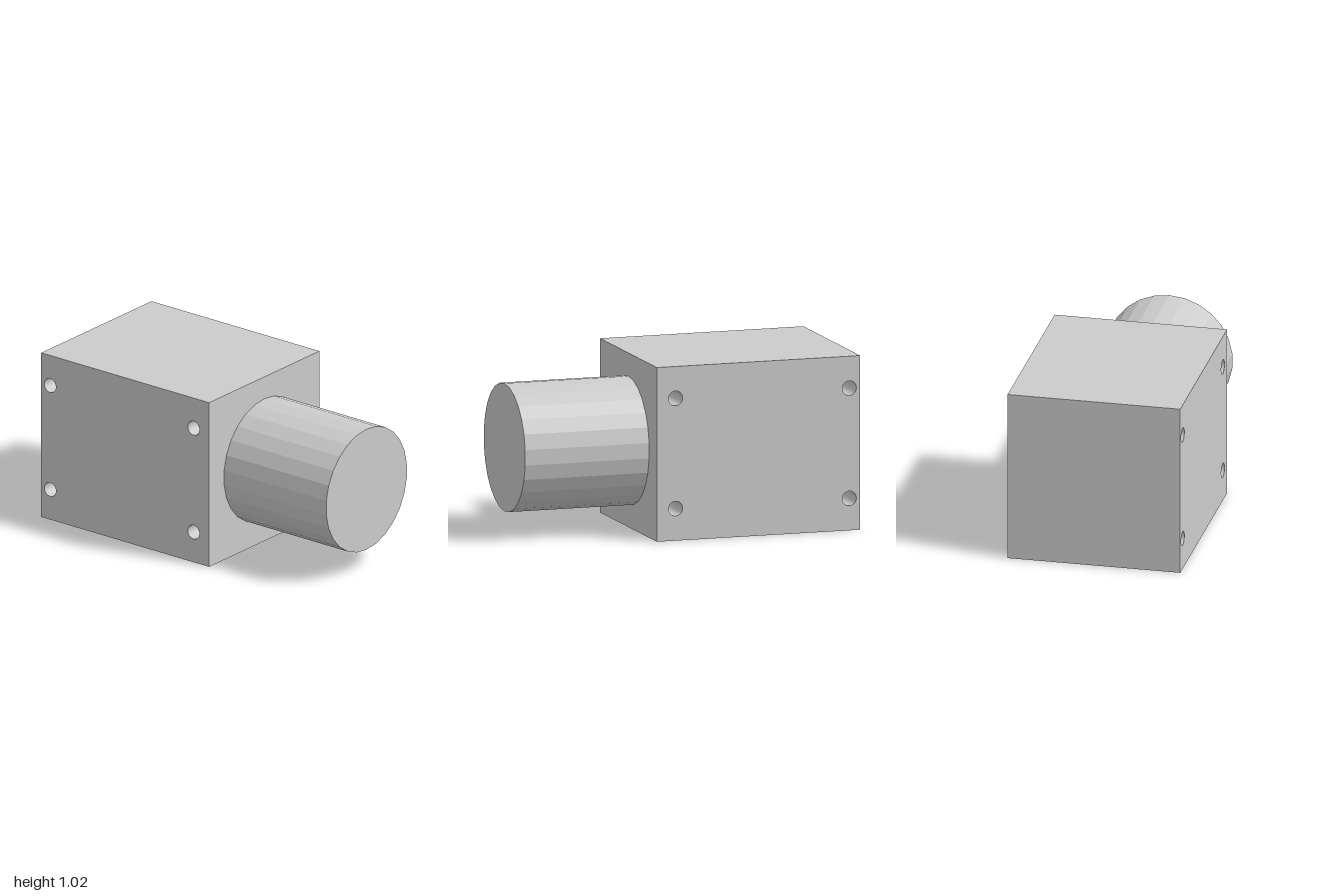
import * as THREE from 'three';

const HEIGHT = 1.024, DEPTH = 1.024, X0 = -1, X1 = 0.243, MID = HEIGHT / 2;

export function createModel() {
  const model = new THREE.Group();
  const material = new THREE.MeshStandardMaterial({ color: 0xcccccc, flatShading: true });

  // Housing block with four through holes running front to back
  const outline = new THREE.Shape();
  outline.moveTo(X0, 0);
  outline.lineTo(X1, 0);
  outline.lineTo(X1, HEIGHT);
  outline.lineTo(X0, HEIGHT);
  outline.closePath();
  for (const x of [-0.934, 0.128]) {
    for (const side of [-1, 1]) {
      const hole = new THREE.Path();
      hole.absarc(x, MID + side * 0.324, 0.043, 0, Math.PI * 2, true);
      outline.holes.push(hole);
    }
  }
  const blockGeometry = new THREE.ExtrudeGeometry(outline, {
    depth: DEPTH, bevelEnabled: false, curveSegments: 26,
  });
  blockGeometry.translate(0, 0, -DEPTH / 2);
  const block = new THREE.Mesh(blockGeometry, material);
  block.name = 'housingBlock';
  model.add(block);

  // Faceted round boss on the left end, with a vertex at its top
  const length = 1 - X1;
  const bossGeometry = new THREE.CylinderGeometry(0.376, 0.376, length, 26, 1, false, Math.PI / 2);
  bossGeometry.rotateZ(-Math.PI / 2);
  const boss = new THREE.Mesh(bossGeometry, material);
  boss.name = 'cylindricalBoss';
  boss.position.set(X1 + length / 2, MID, 0);
  model.add(boss);

  return model;
}
